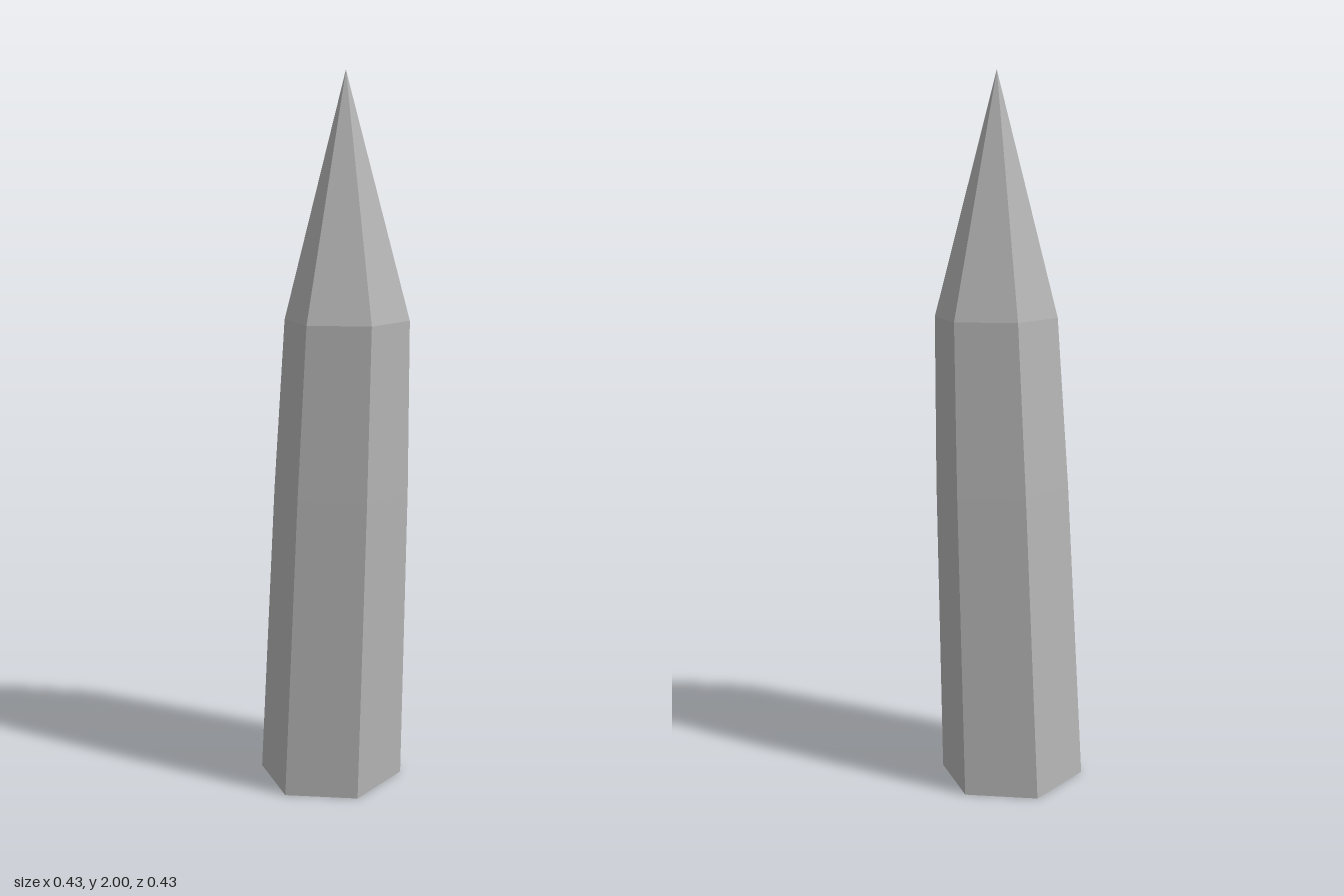
import * as THREE from 'three';

const SIDES = 6;

// Hexagonal rings from the base up: centre x, z, half width, half depth.
const RINGS = [
  { y: 0, x: -0.011, z: -0.002, w: 0.204, d: 0.215 },
  { y: 0.84, x: 0.02, z: 0.015, w: 0.19, d: 0.2 },
  { y: 1.32, x: 0.038, z: 0.025, w: 0.175, d: 0.185 },
];
const APEX = new THREE.Vector3(0.033, 2, 0.013);

function corner(ring, i) {
  const a = (i / SIDES) * Math.PI * 2;
  return new THREE.Vector3(
    ring.x + Math.cos(a) * ring.w,
    ring.y,
    ring.z - (Math.sin(a) / Math.sin(Math.PI / 3)) * ring.d
  );
}

// Unshared corners give every facet its own flat normal.
function facets(triangles) {
  const geometry = new THREE.BufferGeometry().setFromPoints(triangles);
  geometry.computeVertexNormals();
  return geometry;
}

export function createModel() {
  const stone = new THREE.MeshStandardMaterial({ color: 0xb4b4b4 });
  stone.name = 'greyStone';

  const shaft = [], tip = [], base = [];
  const [bottom, , top] = RINGS;
  const baseCentre = new THREE.Vector3(bottom.x, bottom.y, bottom.z);

  for (let i = 0; i < SIDES; i++) {
    // Side panels between neighbouring rings
    for (let r = 0; r < RINGS.length - 1; r++) {
      const a = corner(RINGS[r], i), b = corner(RINGS[r], i + 1);
      const c = corner(RINGS[r + 1], i + 1), d = corner(RINGS[r + 1], i);
      shaft.push(a, b, c, a, c, d);
    }
    // Pointed end and flat underside
    tip.push(corner(top, i), corner(top, i + 1), APEX);
    base.push(baseCentre, corner(bottom, i + 1), corner(bottom, i));
  }

  const group = new THREE.Group();
  group.name = 'crystalSpike';
  for (const [name, points] of Object.entries({ shaft, tip, base })) {
    const mesh = new THREE.Mesh(facets(points), stone);
    mesh.name = name;
    group.add(mesh);
  }
  return group;
}
